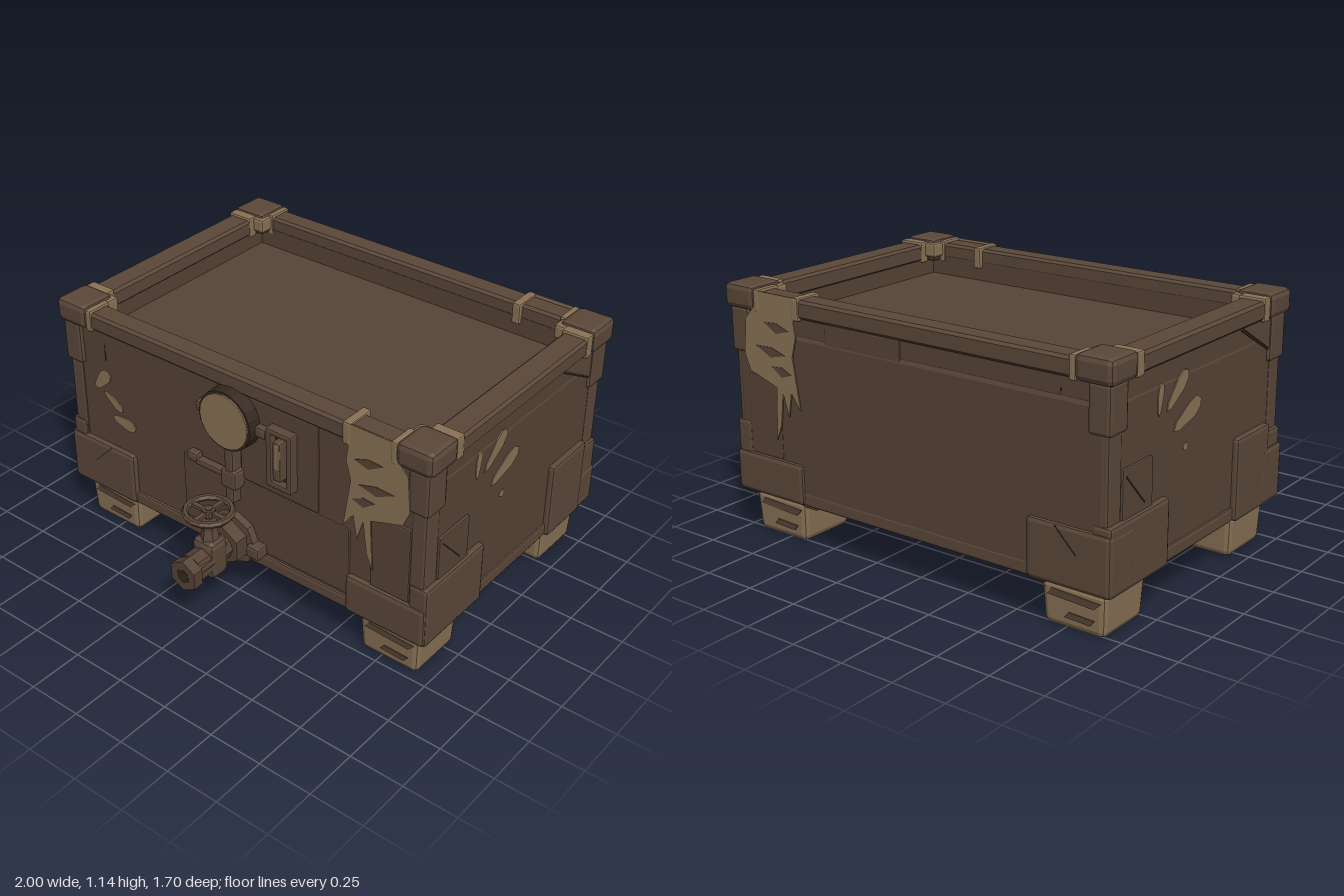
import * as THREE from 'three';
import { RoundedBoxGeometry } from 'three/addons/geometries/RoundedBoxGeometry.js';

const material = (name, color) => {
  const m = new THREE.MeshStandardMaterial({ color, flatShading: true });
  m.name = name;
  return m;
};

export function createModel() {
  const brown = material('brown metal', 0x574437);
  const trim = material('trim brown', 0x5b483a);
  const dark = material('dark seam', 0x35281f);
  const tan = material('worn tan', 0x8a7356);
  const model = new THREE.Group();
  const ZC = -0.16; // centre of the tank along z

  const add = (parent, name, geometry, mat, x = 0, y = 0, z = 0) => {
    const mesh = new THREE.Mesh(geometry, mat);
    mesh.name = name;
    mesh.position.set(x, y, z);
    parent.add(mesh);
    return mesh;
  };
  // Chamfered block given by its limits
  const block = (parent, name, mat, x0, x1, y0, y1, z0, z1, bevel = 0.012) => {
    const w = x1 - x0, h = y1 - y0, d = z1 - z0;
    const r = Math.min(bevel, w * 0.3, h * 0.3, d * 0.3);
    return add(parent, name, new RoundedBoxGeometry(w, h, d, 1, r), mat, (x0 + x1) / 2, (y0 + y1) / 2, (z0 + z1) / 2);
  };
  // Thin cut-out lying on a wall
  const decal = (parent, name, mat, points, z, depth = 0.006) => {
    const shape = new THREE.Shape(points.map(([x, y]) => new THREE.Vector2(x, y)));
    return add(parent, name, new THREE.ExtrudeGeometry(shape, { depth, bevelEnabled: false }), mat, 0, 0, z);
  };
  // Teardrop smear, wider at its far end
  const smear = (parent, x, y, length, width, degrees, z) => {
    const l = length / 2, w = width / 2;
    const mesh = decal(parent, 'paintSmear', tan, [[-l, 0], [-l * 0.7, -w * 0.5], [l * 0.4, -w],
      [l * 0.85, -w * 0.7], [l, 0], [l * 0.8, w * 0.8], [l * 0.3, w], [-l * 0.75, w * 0.6]], z);
    mesh.position.set(x, y, z);
    mesh.rotation.z = THREE.MathUtils.degToRad(degrees);
  };
  // Straight scratch or seam between two points
  const seam = (parent, x0, y0, x1, y1, z, width = 0.008) => {
    const mesh = add(parent, 'seam', new THREE.BoxGeometry(Math.hypot(x1 - x0, y1 - y0), width, 0.004), dark,
      (x0 + x1) / 2, (y0 + y1) / 2, z);
    mesh.rotation.z = Math.atan2(y1 - y0, x1 - x0);
  };
  // Rectangular ring lying flat around the tank centre
  const ring = (name, mat, ox, oz, ix, iz, y0, y1, bevel) => {
    const rect = (Type, x, z) => new Type([[-x, -z], [x, -z], [x, z], [-x, z]].map(p => new THREE.Vector2(...p)));
    const shape = rect(THREE.Shape, ox - bevel, oz - bevel);
    shape.holes.push(rect(THREE.Path, ix + bevel, iz + bevel));
    const g = new THREE.ExtrudeGeometry(shape, { depth: y1 - y0 - 2 * bevel, bevelEnabled: bevel > 0,
      bevelSize: bevel, bevelThickness: bevel, bevelSegments: 1 });
    add(model, name, g.rotateX(-Math.PI / 2), mat, 0, y0 + bevel, ZC);
  };

  // Tank body, recessed lid and rim
  block(model, 'tankBody', brown, -0.965, 0.965, 0.2, 0.97, -0.82, 0.49, 0.025);
  ring('upperWall', brown, 0.962, 0.652, 0.875, 0.56, 0.94, 1.06, 0);
  ring('rim', trim, 0.988, 0.67, 0.868, 0.562, 1.04, 1.122, 0.012);

  // Feet, corner caps and corner posts
  for (const sx of [-1, 1]) {
    for (const sz of [-1, 1]) {
      const corner = new THREE.Group();
      corner.name = 'corner';
      corner.position.set(sx * 0.9, 0, ZC + sz * 0.585);
      model.add(corner);
      const span = (a, b, s) => s > 0 ? [a, b] : [-b, -a];
      const cornerBlock = (name, mat, xa, xb, y0, y1, za, zb, bevel) =>
        block(corner, name, mat, ...span(xa, xb, sx), y0, y1, ...span(za, zb, sz), bevel);
      cornerBlock('cornerCap', trim, -0.075, 0.1, 1.035, 1.145, -0.08, 0.1, 0.025);
      cornerBlock('capWearAlongFront', tan, -0.1, -0.07, 1.033, 1.135, -0.03, 0.092, 0.008);
      cornerBlock('capWearAlongSide', tan, -0.035, 0.092, 1.033, 1.135, -0.125, -0.075, 0.008);
      cornerBlock('innerCornerWear', tan, -0.09, -0.02, 1.06, 1.128, -0.095, -0.02, 0.012);
      cornerBlock('cornerBracket', trim, -0.02, 0.082, 0.84, 1.045, -0.04, 0.085, 0.015);
      cornerBlock('cornerPost', trim, -0.005, 0.07, 0.25, 0.9, -0.02, 0.072, 0.012);
      cornerBlock('footMount', brown, -0.33, 0.03, 0.165, 0.215, -0.2, 0.03, 0.01);

      const g = new RoundedBoxGeometry(0.3, 0.19, 0.29, 1, 0.025);
      const p = g.attributes.position;
      for (let i = 0; i < p.count; i++) {
        const k = p.getY(i) < 0 ? 0.95 : 1;
        p.setXYZ(i, p.getX(i) * k, p.getY(i), p.getZ(i) * k);
      }
      const fz = ZC + sz * 0.48 + 0.005;
      add(model, 'foot', g, tan, sx * 0.79, 0.095, fz);
      // Dark chips on the outward sides of each foot
      const chips = new THREE.Group();
      chips.name = 'footChips';
      chips.position.set(sx * 0.79, 0, fz);
      chips.rotation.y = sz > 0 ? 0 : Math.PI;
      model.add(chips);
      decal(chips, 'footChip', brown, [[-0.04, 0.05], [0.08, 0.045], [0.1, 0.07], [-0.02, 0.075]], 0.139);
      decal(chips, 'footChip', brown, [[-0.12, 0.13], [0.1, 0.12], [0.13, 0.15], [-0.1, 0.16]], 0.141);
    }
  }

  // Front and back walls share plates and the drip, mirrored in depth
  const dripShape = [[0.58, 1.13], [0.6, 1.02], [0.59, 0.96], [0.615, 0.87], [0.58, 0.64], [0.63, 0.71], [0.65, 0.6],
    [0.68, 0.7], [0.7, 0.55], [0.73, 0.48], [0.715, 0.72], [0.87, 0.77], [0.9, 0.84], [0.885, 1.0], [0.83, 1.06], [0.81, 1.13]];
  for (const sz of [1, -1]) {
    const wall = new THREE.Group();
    wall.name = sz > 0 ? 'frontWall' : 'backWall';
    wall.position.z = ZC;
    wall.rotation.y = sz > 0 ? 0 : Math.PI;
    model.add(wall);
    const wallBlock = (name, mat, a, b, y0, y1, z0, z1, bevel) =>
      block(wall, name, mat, ...(sz > 0 ? [a, b] : [-b, -a]), y0, y1, z0, z1, bevel);
    wallBlock('lowerCornerPlate', trim, -0.995, -0.6, 0.2, 0.46, 0.5, 0.675, 0.02);
    wallBlock('lowerCornerPlate', trim, 0.59, 0.99, 0.2, 0.39, 0.5, 0.675, 0.02);
    wallBlock('bottomStrip', trim, -0.92, 0.92, 0.2, 0.265, 0.6, 0.662);
    wallBlock('lowerPanel', brown, -0.3, 0.6, 0.28, 0.61, 0.64, 0.66, 0.006);
    wallBlock('upperPanel', brown, 0.03, 0.44, 0.62, 1.04, 0.64, 0.658, 0.006);
    wallBlock('sidePanel', brown, 0.71, 0.9, 0.39, 0.75, 0.64, 0.663, 0.006);
    decal(wall, 'paintDrip', tan, dripShape.map(([x, y]) => [x * sz, y]), 0.669);
    wallBlock('rimDrip', tan, 0.57, 0.61, 1.03, 1.13, 0.54, 0.677, 0.008);
    for (const [x, y, l] of [[0.7, 0.98, 0.14], [0.74, 0.87, 0.17], [0.68, 0.79, 0.11]])
      decal(wall, 'dripGap', brown, [[x - l / 2, y], [x, y - 0.02], [x + l / 2, y + 0.02], [x, y + 0.025]]
        .map(([a, b]) => [a * sz, b]), 0.672);
    seam(wall, -0.84 * sz, 0.35, -0.74 * sz, 0.45, 0.675, 0.005);
    seam(wall, -0.75 * sz, 0.9, -0.75 * sz, 0.99, 0.651, 0.005);
    if (sz > 0) {
      smear(wall, -0.78, 0.79, 0.14, 0.065, 52, 0.649);
      smear(wall, -0.72, 0.7, 0.13, 0.045, -32, 0.649);
      smear(wall, -0.66, 0.61, 0.14, 0.065, -5, 0.649);
    }
  }

  // Both end walls, one turned half round from the other
  for (const sx of [1, -1]) {
    const wall = new THREE.Group();
    wall.name = sx > 0 ? 'leftWall' : 'rightWall';
    wall.position.z = ZC;
    wall.rotation.y = sx * Math.PI / 2;
    model.add(wall);
    block(wall, 'widePlate', trim, -0.665, -0.25, 0.2, 0.49, 0.9, 0.993, 0.015);
    block(wall, 'tallPlate', trim, 0.285, 0.56, 0.2, 0.57, 0.9, 0.993, 0.015);
    block(wall, 'tallPlateStep', trim, 0.5, 0.665, 0.2, 0.53, 0.9, 0.985, 0.015);
    block(wall, 'patchPlate', brown, -0.57, -0.36, 0.48, 0.69, 0.95, 0.978, 0.006);
    block(wall, 'bottomStrip', trim, -0.63, 0.63, 0.2, 0.265, 0.93, 0.975);
    decal(wall, 'foldedPlate', trim, [[0.31, 1.04], [0.655, 0.84], [0.655, 1.04]], 0.966, 0.008);
    seam(wall, 0.31, 1.03, 0.655, 0.835, 0.968, 0.006);
    seam(wall, -0.55, 0.66, -0.42, 0.52, 0.979, 0.005);
    smear(wall, -0.305, 0.895, 0.13, 0.04, 83, 0.963);
    smear(wall, -0.18, 0.9, 0.2, 0.07, 42, 0.963);
    smear(wall, -0.1, 0.78, 0.22, 0.08, 23, 0.963);
    smear(wall, -0.11, 0.65, 0.04, 0.035, 0, 0.963);
  }

  // Parts whose axis points forward
  const disc = (parent, name, mat, r, sides, y, z0, z1, r1 = r) =>
    add(parent, name, new THREE.CylinderGeometry(r1, r, z1 - z0, sides).rotateX(Math.PI / 2), mat, 0, y, (z0 + z1) / 2);

  // Gauge with pipe and lever
  const gauge = new THREE.Group();
  gauge.name = 'gauge';
  model.add(gauge);
  disc(gauge, 'gaugeCase', dark, 0.143, 20, 0.92, 0.48, 0.56, 0.138);
  disc(gauge, 'gaugeFace', tan, 0.128, 20, 0.92, 0.558, 0.567);
  for (const s of [-1, 1]) block(gauge, 'gaugeEar', trim, s * 0.16 - 0.03, s * 0.16 + 0.03, 0.885, 0.935, 0.48, 0.53);
  block(gauge, 'gaugePipe', trim, -0.025, 0.025, 0.5, 0.8, 0.48, 0.545);
  block(gauge, 'pipeCollar', trim, -0.04, 0.045, 0.58, 0.67, 0.48, 0.555);
  block(gauge, 'lever', trim, -0.2, 0, 0.615, 0.645, 0.5, 0.54);
  block(gauge, 'leverTip', trim, -0.24, -0.18, 0.625, 0.67, 0.5, 0.545);

  // Slotted switch
  const slot = new THREE.Group();
  slot.name = 'slotSwitch';
  model.add(slot);
  for (const x of [0.2, 0.305]) block(slot, 'slotSide', trim, x, x + 0.028, 0.68, 0.96, 0.48, 0.54);
  for (const y of [0.68, 0.935]) block(slot, 'slotEnd', trim, 0.2, 0.333, y, y + 0.028, 0.48, 0.54);
  block(slot, 'slotBack', dark, 0.22, 0.315, 0.69, 0.95, 0.48, 0.507);
  block(slot, 'slotHandle', trim, 0.245, 0.29, 0.73, 0.92, 0.5, 0.555);
  block(slot, 'slotHandleWear', tan, 0.26, 0.285, 0.79, 0.915, 0.54, 0.56);

  // Outlet tap with hand wheel
  const tap = new THREE.Group();
  tap.name = 'tap';
  model.add(tap);
  disc(tap, 'flange', trim, 0.125, 8, 0.31, 0.48, 0.535);
  disc(tap, 'flangeNut', brown, 0.095, 6, 0.31, 0.53, 0.6);
  disc(tap, 'tapPipe', brown, 0.06, 8, 0.31, 0.5, 0.8);
  for (const s of [-1, 1]) block(tap, 'flangeEar', trim, s * 0.13 - 0.035, s * 0.13 + 0.035, 0.27, 0.33, 0.49, 0.56);
  block(tap, 'valveBody', trim, -0.06, 0.06, 0.22, 0.4, 0.625, 0.73, 0.025);
  disc(tap, 'spout', trim, 0.062, 6, 0.3, 0.72, 0.82, 0.066);
  disc(tap, 'spoutLip', brown, 0.075, 6, 0.295, 0.8, 0.85);
  disc(tap, 'spoutHole', dark, 0.035, 6, 0.295, 0.846, 0.852);
  add(tap, 'bonnet', new THREE.CylinderGeometry(0.028, 0.045, 0.09, 6), trim, 0, 0.43, 0.675);
  add(tap, 'stemNut', new THREE.CylinderGeometry(0.042, 0.035, 0.05, 6), brown, 0, 0.475, 0.675);
  add(tap, 'stem', new THREE.CylinderGeometry(0.018, 0.018, 0.12, 8), brown, 0, 0.49, 0.675);
  const wheel = new THREE.TorusGeometry(0.1, 0.015, 6, 16).rotateX(Math.PI / 2);
  add(tap, 'wheelRim', wheel, trim, 0, 0.533, 0.675);
  add(tap, 'wheelHub', new THREE.CylinderGeometry(0.03, 0.03, 0.03, 8), trim, 0, 0.53, 0.675);
  for (let i = 0; i < 2; i++) {
    const spoke = add(tap, 'wheelSpoke', new THREE.BoxGeometry(0.2, 0.016, 0.022), trim, 0, 0.53, 0.675);
    spoke.rotation.y = i * Math.PI / 2;
  }
  return model;
}
